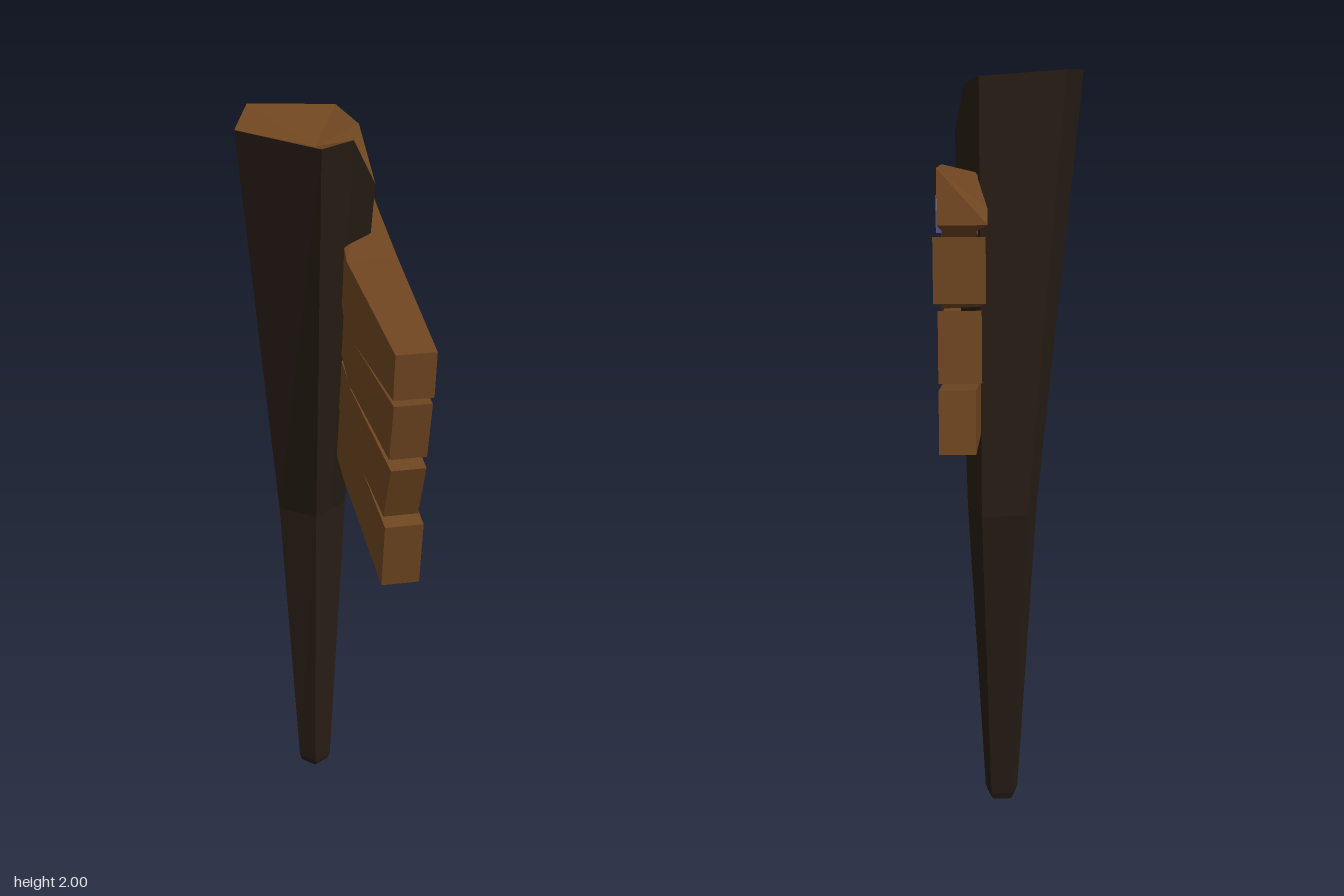
import * as THREE from 'three';

const material = (color) => new THREE.MeshStandardMaterial({ color, flatShading: true, roughness: 1 });

// Triangle soup with flat normals from a list of [a, b, c] corners
function facets(tris) {
  const geometry = new THREE.BufferGeometry();
  geometry.setAttribute('position', new THREE.Float32BufferAttribute(tris.flat(2), 3));
  geometry.computeVertexNormals();
  return geometry;
}

// Sides between successive rings, counterclockwise seen from the last ring
function sides(rings) {
  const tris = [];
  for (let i = 0; i < rings.length - 1; i++) {
    const a = rings[i], b = rings[i + 1], n = a.length;
    for (let j = 0; j < n; j++) {
      const k = (j + 1) % n;
      tris.push([a[j], a[k], b[k]], [a[j], b[k], b[j]]);
    }
  }
  return tris;
}

// Fan from a centre point to a ring
const fan = (ring, centre) => ring.map((p, j) => [p, ring[(j + 1) % ring.length], centre]);

const mid = (a, b) => a.map((v, i) => (v + b[i]) / 2);

// Five-sided ring at height y, with extra points either side of the chipped corner
function postRing(y, corners) {
  const [a, b, c, d, e] = corners.map(([x, z]) => [x, y, z]);
  return [a, b, c, mid(c, d), d, mid(d, e), e];
}

// Plank lofted along z from stations [zTop, yTop, zBottom, yBottom, xInner, xOuter, innerTopDrop]
function plank(stations) {
  const rings = stations.map(([zt, yt, zb, yb, xi, xo, drop = 0]) => [
    [xi, yb, zb], [xi, yt - drop, zt], [xo, yt, zt], [xo, yb, zb],
  ]);
  const first = [...rings[0]].reverse(), last = rings[rings.length - 1];
  return facets([
    ...sides(rings),
    ...fan(first, mid(first[0], first[2])),
    ...fan(last, mid(last[0], last[2])),
  ]);
}

export function createModel() {
  const group = new THREE.Group();
  const add = (name, geometry, mat) => {
    const mesh = new THREE.Mesh(geometry, mat);
    mesh.name = name;
    group.add(mesh);
    return mesh;
  };
  const bark = material(0x261c14), wood = material(0x6e4520), iron = material(0x6a66a8);

  // Bent post, widening upward, with a chipped top corner
  const foot = [[-0.005, -0.08], [-0.02, -0.03], [0.02, 0.01], [0.07, -0.02], [0.055, -0.08]];
  const tip = foot.map(([x, z]) => [0.025 + (x - 0.025) * 0.85, -0.035 + (z + 0.035) * 0.85]);
  const bend = [[-0.04, -0.17], [-0.07, -0.06], [0.02, 0.01], [0.115, -0.06], [0.08, -0.175]];
  const rim = [
    [-0.14, 2, -0.06], [-0.2, 1.995, 0.145], [-0.02, 1.975, 0.265], [0.07, 1.97, 0.19],
    [0.14, 1.84, 0.12], [0.115, 1.965, 0.04], [0.08, 1.985, -0.07],
  ];
  const rings = [postRing(0, tip), postRing(0.02, foot), postRing(0.87, bend), rim];
  add('post', facets([...sides(rings), ...fan([...rings[0]].reverse(), [0.025, 0, -0.035])]), bark);
  add('brokenPostTop', facets(fan(rim, [0, 1.93, 0.09])), wood);

  // Four warped planks, top to bottom
  const planks = [
    [[0.6, 1.61, 0.59, 1.495, 0.08, 0.175], [0.2, 1.68, 0.2, 1.5, 0.055, 0.18],
      [-0.14, 1.775, -0.15, 1.61, 0.09, 0.175, 0.02], [-0.49, 1.795, -0.52, 1.67, 0.07, 0.185, 0.09]],
    [[0.58, 1.475, 0.55, 1.325, 0.085, 0.175], [0.2, 1.485, 0.2, 1.355, 0.065, 0.18],
      [-0.15, 1.585, -0.15, 1.42, 0.085, 0.175], [-0.53, 1.645, -0.54, 1.495, 0.075, 0.195]],
    [[0.55, 1.295, 0.49, 1.14, 0.09, 0.175], [0.2, 1.34, 0.2, 1.19, 0.07, 0.18],
      [-0.15, 1.395, -0.15, 1.235, 0.08, 0.175], [-0.545, 1.48, -0.565, 1.315, 0.085, 0.185]],
    [[0.51, 1.12, 0.49, 0.945, 0.09, 0.185], [0.12, 1.195, 0.1, 1.035, 0.075, 0.18],
      [-0.15, 1.225, -0.14, 1.085, 0.08, 0.175], [-0.57, 1.3, -0.595, 1.155, 0.1, 0.185]],
  ];
  planks.forEach((stations, i) => add(`plank${i + 1}`, plank(stations), wood));

  // Five-sided nail head on the top plank
  const nail = add('nailHead', new THREE.CylinderGeometry(0.052, 0.052, 0.04, 5), iron);
  nail.geometry.rotateY(Math.PI / 2).rotateZ(-Math.PI / 2);
  nail.geometry.rotateX(Math.PI);
  // Turn one corner upward
  const p = nail.geometry.attributes.position;
  let top = -1, bottom = 1;
  for (let i = 0; i < p.count; i++) {
    top = Math.max(top, p.getY(i));
    bottom = Math.min(bottom, p.getY(i));
  }
  if (top < 0.051) nail.geometry.rotateX(-bottom > 0.051 ? Math.PI : Math.PI / 2);
  nail.position.set(0.172, 1.63, 0.03);
  return group;
}
